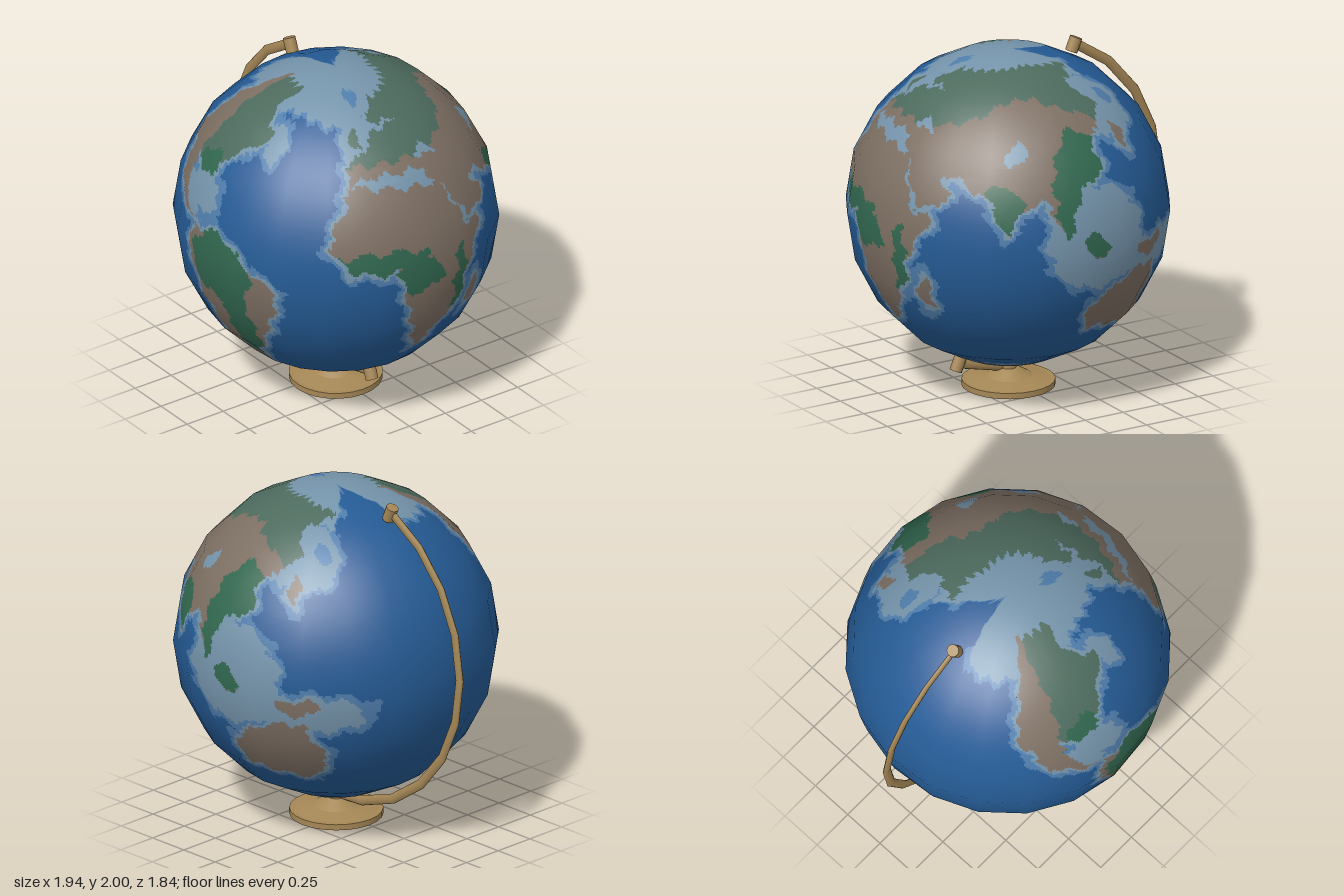
import * as THREE from 'three';

const paint = (name, color) => Object.assign(new THREE.MeshStandardMaterial({ color }), { name });
const brass = paint('brass', 0xa58756);
const mapColours = [
  paint('deep ocean', 0x255b95), paint('coastal water', 0x4f7dab), paint('shallow shelf', 0x7594ab),
  paint('dry land', 0x7d6f63), paint('northern forest', 0x4d6b5e), paint('tropical forest', 0x31674f),
];
const [OCEAN, COAST, SHELF, DRY, NORTH, TROPIC] = mapColours.keys();

const CX = 0.045, CY = 1.08, R = 0.92;
const FRONT_LON = -68.5; // longitude that faces +z

// Continent outlines: a few longitude, latitude pairs each
const southAmerica = [-78, 9, -62, 11, -36, -5, -40, -21, -57, -50, -60, -69, -70, -35, -71, -20, -80, -5];
const northAmerica = [-78, 9, -100, 20, -111, 38, -104, 74, -61, 74, -68, 62, -52, 52, -70, 39, -78, 27, -94, 30, -88, 18];
const africa = [-8, 37, 32, 32, 43, 12, 51, 12, 40, -5, 38, -17, 21, -38, 9, 4, -8, 5, -17, 15];
const eurasia = [-9, 37, -9, 44, 9, 56, 30, 60, 8, 60, 20, 70, 105, 77, 158, 71, 130, 61, 138, 50, 120, 38, 121, 27,
  108, 20, 102, 4, 92, 22, 79, 8, 70, 22, 50, 29, 58, 21, 45, 13, 33, 31, 28, 39, 0, 40];
const australia = [113, -24, 130, -14, 143, -12, 154, -27, 147, -40, 115, -35];
const continents = [southAmerica, northAmerica, africa, eurasia, australia];

// Ovals: longitude, latitude, half width, half height
const islands = [[47, -19, 3, 6], [-3, 54, 3, 4], [138, 37, 3, 5], [114, 1, 5, 5], [143, -6, 9, 3]];
const lakes = [[35, 44, 6, 2], [84, 36, 5, 4]];
const shelves = [[140, 50, 19, 14], [115, 3, 21, 19], [147, -8, 21, 7], [-81, 21, 14, 10], [-56, -50, 5, 16],
  [16, 38, 21, 5], [-125, 64, 20, 5], [0, 54, 12, 10], [-49, 50, 6, 8]];
const basins = [[-71, 15, 7, 2], [-90, 26, 4, 2], [149, 51, 5, 4], [2, 73, 9, 4]];
const tropical = [[-62, -2, 15, 14], [-55, -27, 7, 18], [-80, 31, 9, 6], [2, 8, 20, 4], [18, 0, 10, 6],
  [37, -10, 3, 18], [112, 20, 14, 24], [78, 17, 7, 9]];

const ovalGap = (list, x, y) => Math.min(...list.map(([lon, lat, w, h]) =>
  (Math.hypot((x - lon) / w, (y - lat) / h) - 1) * Math.min(w, h)));
function inside(p, x, y) {
  let hit = false;
  for (let i = 0, j = p.length - 2; i < p.length; j = i, i += 2)
    if ((p[i + 1] > y) !== (p[j + 1] > y) && x < (p[j] - p[i]) * (y - p[i + 1]) / (p[j + 1] - p[i + 1]) + p[i]) hit = !hit;
  return hit;
}
// Nearest continent edge in degrees
function coastGap(x, y) {
  const k = Math.cos(THREE.MathUtils.degToRad(y));
  let best = Infinity;
  for (const p of continents) for (let i = 0, j = p.length - 2; i < p.length; j = i, i += 2) {
    const ax = (p[j] - x) * k, ay = p[j + 1] - y, dx = (p[i] - p[j]) * k, dy = p[i + 1] - p[j + 1];
    const t = THREE.MathUtils.clamp(-(ax * dx + ay * dy) / (dx * dx + dy * dy), 0, 1);
    best = Math.min(best, Math.hypot(ax + t * dx, ay + t * dy));
  }
  return best;
}
// Degrees from the polar ice shelves
function polarGap(x, y) {
  const arcticEdge = 62 + 2 * Math.sin(x * 0.1) + 25 * THREE.MathUtils.smoothstep(Math.abs(x - 5), 148, 164);
  const antarcticEdge = -71 + 4 * Math.sin(x * 0.025);
  return Math.min(arcticEdge - y, y - antarcticEdge);
}
// Forest of the north: east of the plains, and above a bulging line in Asia
const isNorthern = (x, y) => x < -30
  ? y > 25 && x > -92 - 0.3 * Math.max(0, y - 50)
  : y > 44 + 15 * Math.exp(-(((x - 90) / 30) ** 2));

function colourAt(lon, lat) {
  // Gentle warp makes the outlines ragged
  const x = lon + 1.2 * Math.sin(lat * 0.6) + 0.5 * Math.sin(lat * 1.7 + lon);
  const y = lat + 1.2 * Math.sin(lon * 0.5) + 0.5 * Math.sin(lon * 1.5 + lat);
  const within = list => ovalGap(list, x, y) < 0;
  if (within(islands) || continents.some(p => inside(p, x, y))) {
    if (within(lakes)) return SHELF;
    if (within(tropical)) return TROPIC;
    return isNorthern(x, y) ? NORTH : DRY;
  }
  if (within(basins)) return COAST;
  const shelfGap = Math.min(polarGap(x, y), ovalGap(shelves, x, y));
  const landGap = Math.min(coastGap(x, y), ovalGap(islands, x, y));
  if (shelfGap < 0 || landGap < 1.4) return SHELF;
  return shelfGap < 2 || landGap < 3.3 ? COAST : OCEAN;
}

// Sphere of 20 x 10 flat panels, each divided into coloured strips
function globeGeometry() {
  const COLS = 20, ROWS = 10, SUB = 24, step = 18;
  const buckets = mapColours.map(() => []);
  const corner = (i, j) => new THREE.Vector3().setFromSphericalCoords(R,
    THREE.MathUtils.degToRad(180 - j * step), THREE.MathUtils.degToRad(i * step - 180 - FRONT_LON));
  for (let i = 0; i < COLS; i++) for (let j = 0; j < ROWS; j++) {
    const [a, b, c, d] = [corner(i, j), corner(i + 1, j), corner(i + 1, j + 1), corner(i, j + 1)];
    const at = (u, v) => a.clone().lerp(b, u / SUB).lerp(d.clone().lerp(c, u / SUB), v / SUB);
    for (let v = 0; v < SUB; v++) {
      const row = Array.from({ length: SUB }, (_, u) =>
        colourAt((i + (u + 0.5) / SUB) * step - 180, (j + (v + 0.5) / SUB) * step - 90));
      for (let u = 0, e; u < SUB; u = e) {
        for (e = u + 1; e < SUB && row[e] === row[u];) e++;
        const [p, q, r, s] = [at(u, v), at(e, v), at(e, v + 1), at(u, v + 1)];
        buckets[row[u]].push(p, q, r, p, r, s);
      }
    }
  }
  const points = buckets.flat();
  const geo = new THREE.BufferGeometry().setFromPoints(points);
  const normals = points.flatMap(p => p.clone().normalize().toArray());
  geo.setAttribute('normal', new THREE.Float32BufferAttribute(normals, 3));
  let start = 0;
  buckets.forEach((b, m) => { geo.addGroup(start, b.length, m); start += b.length; });
  return geo;
}

export function createModel() {
  const group = new THREE.Group();
  const add = (name, geo, mat, x, y) => {
    const mesh = new THREE.Mesh(geo, mat);
    mesh.name = name;
    mesh.position.set(x, y, 0);
    group.add(mesh);
    return mesh;
  };
  add('globe', globeGeometry(), mapColours, CX, CY);

  // Flattened half-ring arm sweeping round the globe
  const arm = add('arm', new THREE.TorusGeometry(0.965, 0.029, 8, 11, 3.07), brass, 0.02, CY);
  arm.rotation.z = 2.016;
  arm.scale.z = 0.5;

  // Pivot knobs at both ends of the tilted axis
  for (const [name, x, y] of [['upperKnob', -0.39, 1.945], ['lowerKnob', 0.375, 0.18]])
    add(name, new THREE.CylinderGeometry(0.036, 0.036, 0.085, 12), brass, x, y).rotation.z = 0.4;

  // Stepped disc foot with a flared post: bottom, height, lower and upper radius
  for (const [name, y, h, low, high] of [['footDisc', 0, 0.034, 0.265, 0.265], ['footStep', 0.034, 0.022, 0.24, 0.14],
    ['footFlare', 0.056, 0.045, 0.135, 0.055], ['post', 0.08, 0.09, 0.045, 0.045]])
    add(name, new THREE.CylinderGeometry(high, low, h, 24), brass, 0.042, y + h / 2);
  return group;
}
